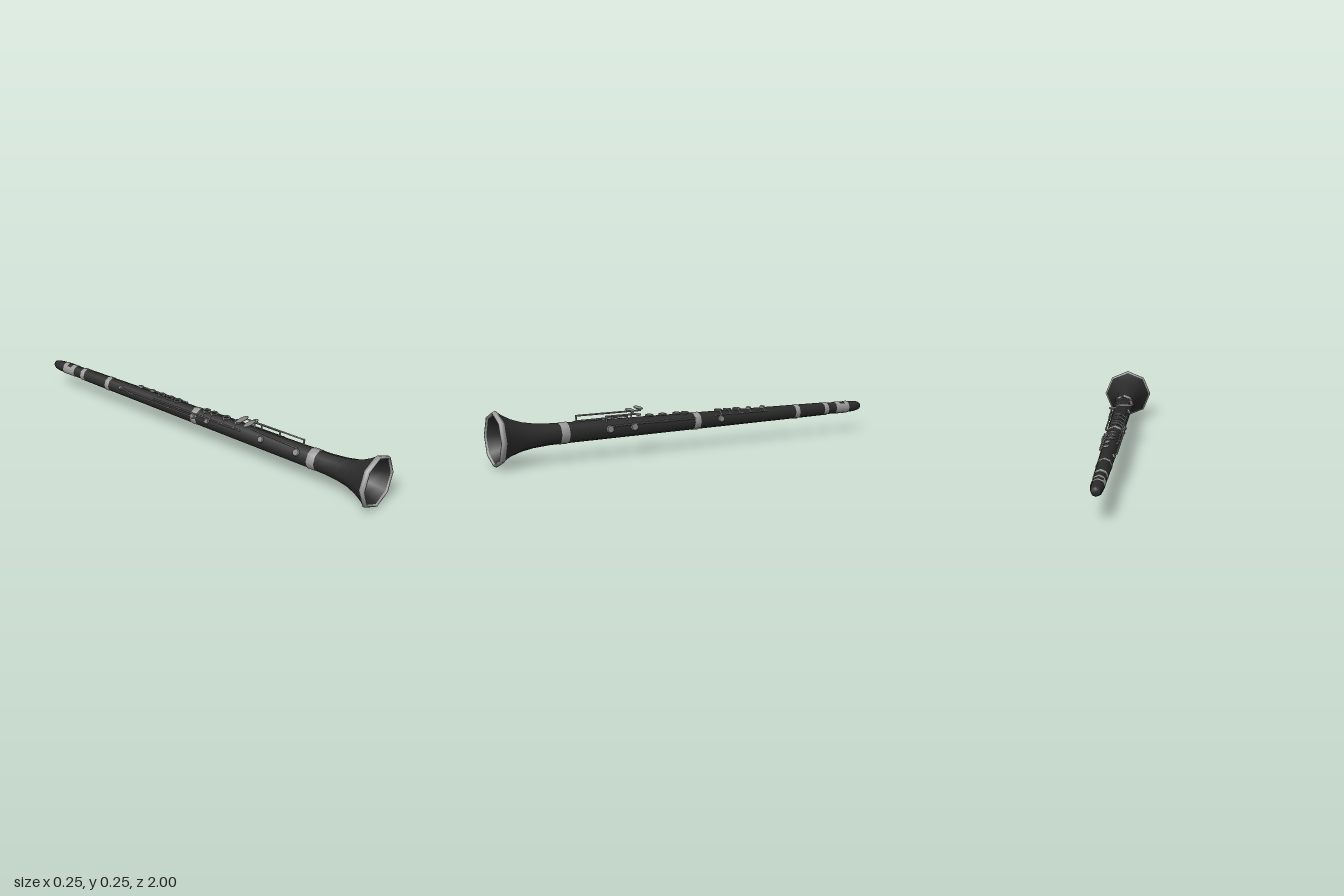
import * as THREE from 'three';

const AXIS_Y = 0.128;
const mat = (name, color, side = THREE.FrontSide) => {
  const m = new THREE.MeshStandardMaterial({ color, side });
  m.name = name;
  return m;
};

export function createModel() {
  const black = mat('blackWood', 0x2b2b2b, THREE.DoubleSide);
  const silver = mat('silver', 0x9c9c9c, THREE.DoubleSide);
  const keyMetal = mat('keyMetal', 0x858585);
  const model = new THREE.Group();
  model.name = 'clarinet';

  const add = (parent, name, geometry, material) => {
    const mesh = new THREE.Mesh(geometry, material);
    mesh.name = name;
    parent.add(mesh);
    return mesh;
  };

  // Eight-sided turned part along z; profile is [radius, z] pairs
  const turned = (name, profile, material, segments = 8, start = 0, length = Math.PI * 2) => {
    const points = profile.map(([r, z]) => new THREE.Vector2(r, z));
    const geometry = new THREE.LatheGeometry(points, segments, start, length).rotateX(Math.PI / 2);
    const mesh = add(model, name, geometry, material);
    mesh.position.y = AXIS_Y;
    return mesh;
  };

  // Wooden body from mouthpiece to bell
  turned('mouthpiece', [[0, -1], [0.016, -1], [0.022, -0.99], [0.027, -0.965], [0.029, -0.93], [0.03, -0.79]], black);
  turned('barrel', [[0.03, -0.79], [0.033, -0.765], [0.035, -0.6]], black);
  turned('upperJoint', [[0.035, -0.6], [0.0415, -0.02]], black);
  turned('lowerJoint', [[0.0415, -0.02], [0.049, 0.66]], black);
  turned('bell', [[0.049, 0.66], [0.051, 0.74], [0.057, 0.81], [0.067, 0.865],
    [0.084, 0.915], [0.105, 0.955], [0.121, 0.977]], black);
  turned('bellInside', [[0.112, 0.992], [0.098, 0.965], [0.076, 0.92], [0.058, 0.865],
    [0.045, 0.79], [0.037, 0.7]], black);
  add(model, 'bore', new THREE.CircleGeometry(0.038, 8), black).position.set(0, AXIS_Y, 0.702);
  turned('bellRim', [[0.119, 0.973], [0.127, 0.981], [0.127, 0.99], [0.122, 1], [0.116, 1], [0.11, 0.988]], silver);

  // Joint bands
  for (const [a, b, r] of [[0.648, 0.688, 0.0515], [-0.036, -0.004, 0.0435],
    [-0.613, -0.588, 0.037], [-0.792, -0.767, 0.0335]]) {
    turned('jointBand', [[r - 0.004, a], [r, a], [r, b], [r - 0.004, b]], silver);
  }

  // Ligature: two hoops with an open window on top
  turned('ligatureBackHoop', [[0.0315, -0.92], [0.0315, -0.897]], silver);
  turned('ligatureFrontHoop', [[0.0315, -0.87], [0.0315, -0.842]], silver);
  turned('ligatureSides', [[0.0315, -0.897], [0.0315, -0.87]], silver, 6, -Math.PI * 0.75, Math.PI * 1.5);

  // Point above the body; angle in degrees from the top toward +x
  const keys = new THREE.Group();
  keys.name = 'keywork';
  model.add(keys);
  const outward = (deg) => new THREE.Vector3(Math.sin(deg * Math.PI / 180), Math.cos(deg * Math.PI / 180), 0);
  const at = (z, deg, h = 0.008) => {
    const p = outward(deg).multiplyScalar(0.0417 + 0.0112 * z + h);
    return new THREE.Vector3(p.x, p.y + AXIS_Y, z);
  };
  const up = new THREE.Vector3(0, 1, 0);

  const rod = (name, a, b, r = 0.004) => {
    const d = b.clone().sub(a);
    const mesh = add(keys, name, new THREE.CylinderGeometry(r, r, d.length(), 6), keyMetal);
    mesh.position.copy(a).add(b).multiplyScalar(0.5);
    mesh.quaternion.setFromUnitVectors(up, d.normalize());
  };
  const post = (z, deg, h = 0.008) => rod('post', at(z, deg, -0.006), at(z, deg, h + 0.003), 0.0045);
  const pad = (z, deg, r = 0.018, h = 0.007) => {
    const mesh = add(keys, 'padCup', new THREE.CylinderGeometry(r * 0.8, r, 0.008, 8), keyMetal);
    mesh.position.copy(at(z, deg, h));
    mesh.quaternion.setFromUnitVectors(up, outward(deg));
    rod('padStem', at(z, deg, -0.005), at(z, deg, h), r * 0.4);
  };
  const touch = (name, x, y, z, sx, sy, sz) => {
    const mesh = add(keys, name, new THREE.SphereGeometry(1, 10, 6), keyMetal);
    mesh.position.set(x, y, z);
    mesh.scale.set(sx, sy, sz);
  };

  // Ring keys with an arm to the side rod
  for (const [z, side] of [[-0.255, 1], [-0.2, 1], [-0.15, 1], [0.035, -1], [0.08, -1], [0.155, -1], [0.225, -1]]) {
    const ring = add(keys, 'ringKey', new THREE.TorusGeometry(0.017, 0.0045, 5, 10), keyMetal);
    ring.rotation.x = Math.PI / 2;
    ring.position.copy(at(z, 0, 0.003));
    const edge = at(z, 0, 0.003);
    edge.x = side * 0.018;
    rod('ringArm', edge, at(z, side * 55, 0.006));
  }

  // Long hinge rods with their posts: from z, to z, angle
  for (const [a, b, deg] of [[-0.41, -0.12, 55], [0.0, 0.31, 65], [-0.42, 0.06, -75],
    [-0.28, 0.06, -55], [0.02, 0.26, -55]]) {
    rod('hingeRod', at(a, deg, 0.006), at(b, deg, 0.006));
    for (const z of [a, (a + b) / 2, b]) post(z, deg, 0.006);
  }

  // Throat keys on the upper joint
  for (const z of [-0.4, -0.32]) {
    pad(z, 12, 0.015, 0.005);
    rod('throatArm', at(z, 12, 0.007), at(z, 55, 0.006));
  }

  // Register key
  pad(-0.5, -60, 0.012, 0.005);
  rod('registerLever', at(-0.5, -60, 0.007), at(-0.42, -75, 0.006));

  // Side pads
  for (const [z, deg, r] of [[0.45, 82, 0.02], [0.325, 82, 0.02], [-0.145, 82, 0.018],
    [0.39, -60, 0.017], [0.59, -60, 0.019], [0.07, -70, 0.014], [-0.02, -70, 0.014]]) pad(z, deg, r);
  rod('sidePadLever', at(0.45, 70), at(0.3, 65));
  rod('lowPadLever', at(0.59, -40), at(0.33, -25));
  rod('lowPadLever', at(0.59, -60), at(0.59, -40));

  // Raised little-finger levers and their oval touches
  const levers = [[0.002, 0.203, 0.27, 0.605], [0.018, 0.19, 0.3, 0.46]];
  for (const [x, y, a, b] of levers) {
    rod('longLever', new THREE.Vector3(x, y, a), new THREE.Vector3(x, y, b), 0.0042);
    for (const z of [a + 0.05, b - 0.005]) {
      rod('leverPost', new THREE.Vector3(x, AXIS_Y + 0.035, z), new THREE.Vector3(x, y + 0.003, z), 0.0045);
    }
  }
  touch('ovalTouch', -0.028, 0.211, 0.27, 0.046, 0.007, 0.016);
  touch('ovalTouch', -0.028, 0.203, 0.312, 0.046, 0.007, 0.016);
  touch('smallTouch', 0.034, 0.19, 0.3, 0.02, 0.006, 0.014);
  rod('touchArm', new THREE.Vector3(-0.02, 0.2, 0.312), new THREE.Vector3(0.018, 0.19, 0.312));

  return model;
}
